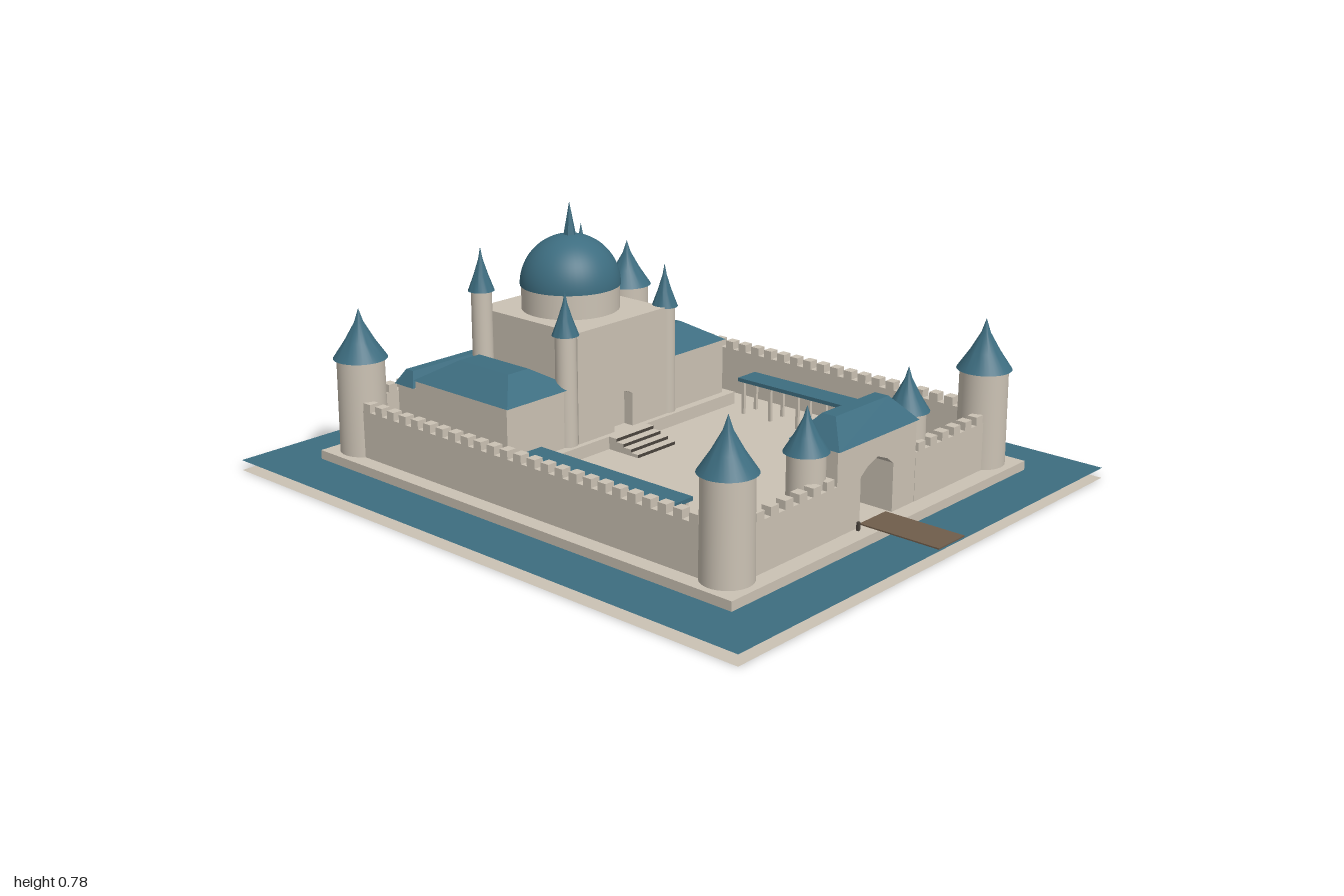
import * as THREE from 'three';
import { toCreasedNormals } from 'three/addons/utils/BufferGeometryUtils.js';

const mat = (name, color, side = THREE.FrontSide) => {
  const m = new THREE.MeshStandardMaterial({ color, side });
  m.name = name;
  return m;
};

export function createModel() {
  const model = new THREE.Group();
  model.name = 'palaceCompound';
  const stone = mat('stone', 0xcbc2b4, THREE.DoubleSide);
  const blue = mat('blueTile', 0x3d6d80, THREE.DoubleSide);
  const wood = mat('wood', 0x705d4b, THREE.DoubleSide);
  const dark = mat('darkStone', 0x4a443d);

  const add = (name, geo, material, parent = model) => {
    const mesh = new THREE.Mesh(geo, material);
    mesh.name = name;
    parent.add(mesh);
    return mesh;
  };
  const group = (name) => {
    const g = new THREE.Group();
    g.name = name;
    model.add(g);
    return g;
  };
  // Box given by its limits on each axis
  const box = (name, [x0, x1], [y0, y1], [z0, z1], material, parent) => {
    const geo = new THREE.BoxGeometry(x1 - x0, y1 - y0, z1 - z0);
    geo.translate((x0 + x1) / 2, (y0 + y1) / 2, (z0 + z1) / 2);
    return add(name, geo, material, parent);
  };
  // Hipped roof with a flat top: a box whose upper corners move inward
  const hipRoof = (name, [x0, x1], [y0, y1], [z0, z1], insetX, insetZ, parent) => {
    const w = x1 - x0, d = z1 - z0;
    const geo = new THREE.BoxGeometry(w, y1 - y0, d);
    const p = geo.attributes.position;
    for (let i = 0; i < p.count; i++) {
      if (p.getY(i) > 0) {
        p.setX(i, p.getX(i) * (1 - 2 * insetX / w));
        p.setZ(i, p.getZ(i) * (1 - 2 * insetZ / d));
      }
    }
    geo.computeVertexNormals();
    geo.translate((x0 + x1) / 2, (y0 + y1) / 2, (z0 + z1) / 2);
    return add(name, geo, blue, parent);
  };
  // Round tower with a pointed cap
  const tower = (name, x, z, r, capR, y0, eave, tip) => {
    const g = group(name);
    g.position.set(x, 0, z);
    const body = new THREE.CylinderGeometry(r * 0.97, r, eave - y0, 32);
    body.translate(0, (y0 + eave) / 2, 0);
    add('towerBody', body, stone, g);
    const h = tip - eave;
    const cap = new THREE.LatheGeometry([
      [0, 0], [capR, 0], [capR * 0.55, h * 0.36], [capR * 0.17, h * 0.72], [0, h],
    ].map(([a, b]) => new THREE.Vector2(a, eave + b)), 32);
    add('towerCap', toCreasedNormals(cap, 0.6), blue, g);
  };
  // Wall front with an opening cut up from its lower edge to a pointed arch
  const archWall = (name, half, y0, y1, [z0, z1], doorHalf, spring, apex, parent) => {
    const s = new THREE.Shape();
    s.moveTo(-half, y0);
    s.lineTo(-doorHalf, y0);
    s.lineTo(-doorHalf, spring);
    s.lineTo(-doorHalf * 0.6, spring + (apex - spring) * 0.55);
    s.lineTo(0, apex);
    s.lineTo(doorHalf * 0.6, spring + (apex - spring) * 0.55);
    s.lineTo(doorHalf, spring);
    s.lineTo(doorHalf, y0);
    s.lineTo(half, y0);
    s.lineTo(half, y1);
    s.lineTo(-half, y1);
    const geo = new THREE.ExtrudeGeometry(s, { depth: z1 - z0, bevelEnabled: false });
    geo.translate(0, 0, z0);
    return add(name, geo, stone, parent);
  };

  // Ground, moat and platform
  const sheet = (name, y, material) => {
    const geo = new THREE.PlaneGeometry(1.69, 1.97).rotateX(-Math.PI / 2);
    geo.translate(0, y, -0.015);
    add(name, geo, material);
  };
  sheet('ground', 0, stone);
  sheet('moatWater', 0.032, blue);
  box('platform', [-0.675, 0.675], [0, 0.06], [-0.83, 0.805], stone);
  box('bridge', [-0.06, 0.06], [0.06, 0.064], [0.74, 1.0], wood);
  box('bridgePost', [-0.1, -0.092], [0.06, 0.085], [0.758, 0.766], dark);

  // Battlemented walls
  const wall = (name, alongX, a, b, centre) => {
    const g = group(name);
    const part = (label, s, e, y) => {
      const across = [centre - 0.016, centre + 0.016];
      if (alongX) box(label, [s, e], y, across, stone, g);
      else box(label, across, y, [s, e], stone, g);
    };
    part('wallBody', a, b, [0.06, 0.207]);
    const n = Math.round((b - a) / 0.055), step = (b - a) / n;
    for (let i = 0; i < n; i++) {
      part('merlon', a + (i + 0.22) * step, a + (i + 0.78) * step, [0.207, 0.232]);
    }
  };
  wall('backWall', true, -0.53, 0.53, -0.773);
  wall('leftWall', false, -0.69, 0.66, 0.609);
  wall('rightWall', false, -0.69, 0.66, -0.609);
  wall('frontWallLeft', true, 0.18, 0.53, 0.735);
  wall('frontWallRight', true, -0.53, -0.18, 0.735);

  // Corner, gate and palace towers
  for (const s of [-1, 1]) {
    tower('cornerTowerBack', s * 0.58, -0.738, 0.074, 0.082, 0.06, 0.352, 0.505);
    tower('cornerTowerFront', s * 0.58, 0.708, 0.074, 0.082, 0.06, 0.352, 0.505);
    tower('gateTower', s * 0.23, 0.683, 0.055, 0.064, 0.06, 0.305, 0.435);
    tower('palaceTurretBack', s * 0.217, -0.595, 0.033, 0.041, 0.1, 0.513, 0.65);
    tower('palaceTurretFront', s * 0.217, -0.232, 0.033, 0.041, 0.1, 0.442, 0.578);
  }

  // Gatehouse
  const gate = group('gatehouse');
  archWall('gateBlock', 0.18, 0.06, 0.305, [0.592, 0.75], 0.075, 0.205, 0.245, gate);
  hipRoof('gateRoof', [-0.183, 0.183], [0.305, 0.377], [0.585, 0.757], 0.063, 0.063, gate);

  // Palace: terrace, hall, wings and rear gallery
  const palace = group('palace');
  box('terrace', [-0.505, 0.505], [0.06, 0.1], [-0.705, -0.187], stone, palace);
  box('hall', [-0.195, 0.195], [0.1, 0.447], [-0.64, -0.24], stone, palace);
  archWall('hallFront', 0.195, 0.1, 0.447, [-0.24, -0.205], 0.04, 0.205, 0.222, palace);
  for (const s of [-1, 1]) {
    const xs = s > 0 ? [0.2, 0.48] : [-0.48, -0.2];
    box('wing', s > 0 ? [0.19, 0.475] : [-0.475, -0.19], [0.1, 0.28], [-0.615, -0.215], stone, palace);
    hipRoof('wingRoof', xs, [0.28, 0.342], [-0.62, -0.207], 0.1, 0.1, palace);
  }
  box('rearGallery', [-0.475, 0.475], [0.1, 0.255], [-0.695, -0.61], stone, palace);
  hipRoof('rearGalleryRoof', [-0.483, 0.483], [0.255, 0.3], [-0.702, -0.618], 0.025, 0.026, palace);

  // Entrance steps with dark risers
  const steps = 4;
  for (let i = 0; i < steps; i++) {
    const z = -0.187 + 0.12 * (1 - i / steps);
    box('entranceStep', [-0.083, 0.083], [0.06, 0.06 + 0.04 * (i + 1) / steps], [-0.187, z],
      [stone, stone, stone, stone, dark, stone], palace);
  }

  // Drum, dome and spire
  const dome = group('dome');
  dome.position.set(0, 0, -0.427);
  add('drum', new THREE.CylinderGeometry(0.152, 0.152, 0.08, 48).translate(0, 0.485, 0), stone, dome);
  add('domeShell', new THREE.SphereGeometry(0.156, 48, 20, 0, Math.PI * 2, 0, Math.PI / 2)
    .translate(0, 0.523, 0), blue, dome);
  add('domeSpire', toCreasedNormals(new THREE.ConeGeometry(0.022, 0.115, 6), 0.3)
    .translate(0, 0.7225, 0), blue, dome);

  // Covered walks on posts along both sides of the court
  for (const s of [-1, 1]) {
    const walk = group('coveredWalk');
    const at = (x, w) => [s * x - w / 2, s * x + w / 2];
    box('walkRoof', at(0.478, 0.083), [0.168, 0.18], [-0.115, 0.465], blue, walk);
    for (let i = 0; i < 6; i++) {
      const z = -0.1 + i * 0.11;
      for (const x of [0.447, 0.509]) {
        box('walkPost', at(x, 0.01), [0.06, 0.168], [z - 0.005, z + 0.005], stone, walk);
      }
    }
  }

  // Fountain
  const fountain = group('fountain');
  fountain.position.set(0, 0, 0.2);
  add('basin', new THREE.CylinderGeometry(0.073, 0.068, 0.014, 24).translate(0, 0.067, 0), stone, fountain);
  add('basinWater', new THREE.CylinderGeometry(0.071, 0.071, 0.004, 24).translate(0, 0.076, 0), blue, fountain);
  add('fountainSpire', new THREE.ConeGeometry(0.018, 0.1, 12).translate(0, 0.126, 0), blue, fountain);

  return model;
}
